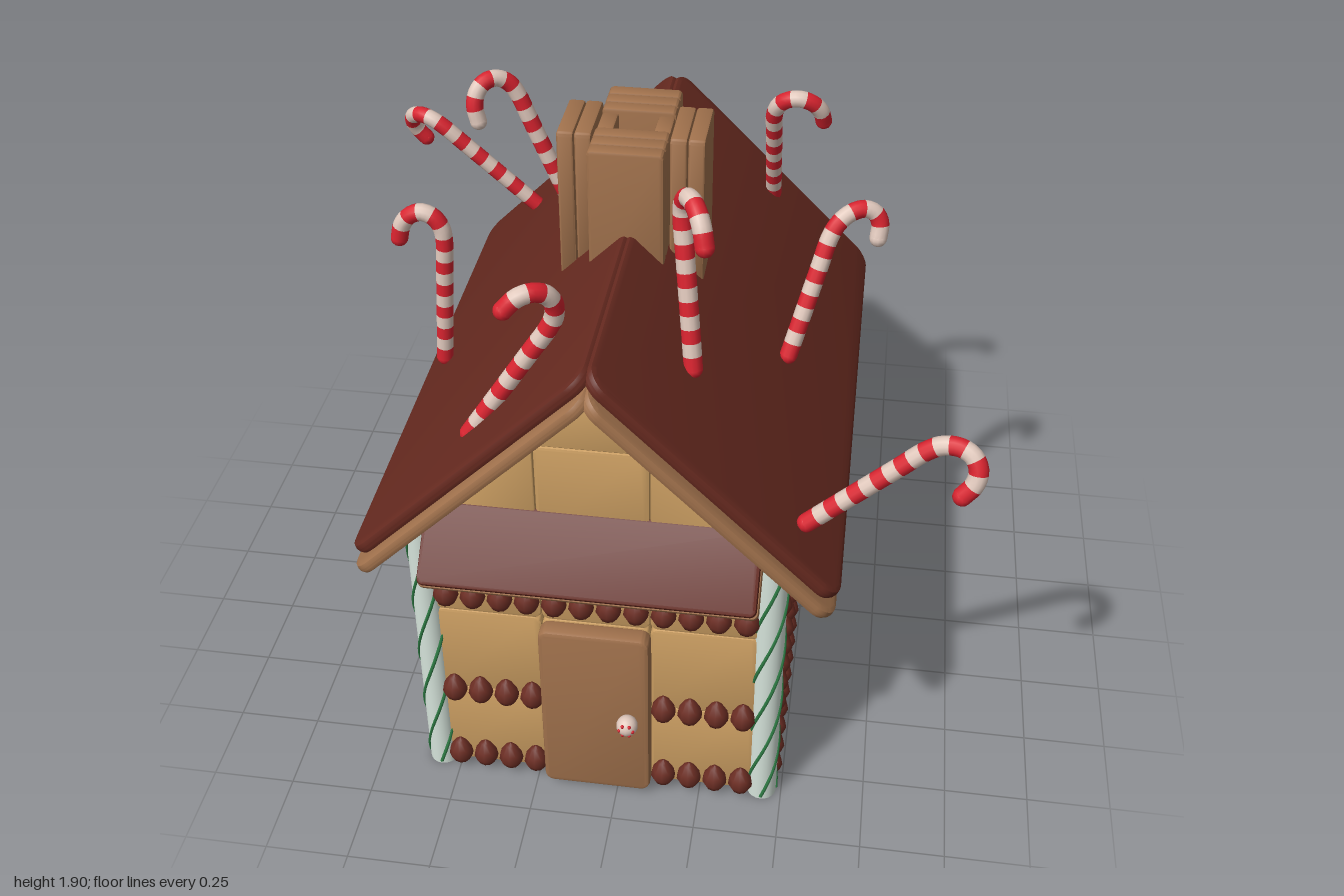
import * as THREE from 'three';
import { mergeGeometries, toCreasedNormals } from 'three/addons/utils/BufferGeometryUtils.js';

const paint = (name, color) => {
  const m = new THREE.MeshStandardMaterial({ color });
  m.name = name;
  return m;
};

export function createModel() {
  const biscuit = paint('biscuit', 0xcb9e62);
  const gingerbread = paint('gingerbread', 0xa0714c);
  const chocolate = paint('chocolate', 0x65291f);
  const nutBrown = paint('nut brown', 0x6b2d23);
  const cakeLight = paint('light cake', 0xd4a866);
  const cakeDark = paint('dark cake', 0x9b5829);
  const mint = paint('mint white', 0xd5e3da);
  const green = paint('candy green', 0x2f7d45);
  const red = paint('candy red', 0xd8232f);
  const cream = paint('candy cream', 0xe0c8bc);

  const model = new THREE.Group();
  model.name = 'gingerbreadHouse';
  const house = new THREE.Group();
  house.name = 'house';
  house.position.x = -0.06;
  model.add(house);

  const add = (parent, name, geo, mat, x = 0, y = 0, z = 0) => {
    const m = new THREE.Mesh(geo, mat);
    m.name = name;
    m.position.set(x, y, z);
    parent.add(m);
    return m;
  };
  const group = (parent, name) => {
    const g = new THREE.Group();
    g.name = name;
    parent.add(g);
    return g;
  };

  // Bevelled extrusion centred on z = 0
  const bevelled = (shape, t, b) => {
    const g = new THREE.ExtrudeGeometry(shape, {
      depth: t - 2 * b, bevelEnabled: true, bevelSize: b, bevelThickness: b,
      bevelOffset: -b, bevelSegments: 2, curveSegments: 5,
    });
    g.translate(0, 0, b - t / 2);
    return toCreasedNormals(g, 0.7);
  };
  // Flat slab in XY with rounded corners of radius r
  const slab = (w, h, t, r, b) => {
    const s = new THREE.Shape(), x = w / 2, y = h / 2;
    s.moveTo(r - x, -y);
    s.lineTo(x - r, -y).absarc(x - r, r - y, r, -Math.PI / 2, 0);
    s.lineTo(x, y - r).absarc(x - r, y - r, r, 0, Math.PI / 2);
    s.lineTo(r - x, y).absarc(r - x, y - r, r, Math.PI / 2, Math.PI);
    s.lineTo(-x, r - y).absarc(r - x, r - y, r, Math.PI, Math.PI * 1.5);
    return bevelled(s, t, b);
  };

  // Floor of biscuits
  const T = 0.317;
  const tile = slab(T, T, 0.05, 0.025, 0.008);
  const floor = group(house, 'floor');
  for (let i = -1; i <= 1; i++) for (let j = -2; j <= 2; j++) {
    add(floor, 'floorBiscuit', tile, biscuit, i * T, 0.045, j * 0.32).rotation.x = -Math.PI / 2;
  }

  // Teardrop nut used for the trim
  const nut = new THREE.LatheGeometry(
    [[0, -0.046], [0.026, -0.04], [0.038, -0.015], [0.033, 0.012], [0.015, 0.038], [0, 0.048]]
      .map(p => new THREE.Vector2(...p)), 10);

  // Gable biscuits: a square, a triangle above it and a wedge on each side
  const gablePiece = pts => bevelled(new THREE.Shape(pts.map(p => new THREE.Vector2(...p))), 0.05, 0.006);
  const gableWedge = gablePiece([[0.16, 0.97], [0.475, 0.97], [0.475, 0.99], [0.16, 1.287]]);
  const gableTop = gablePiece([[-0.16, 1.29], [0.16, 1.29], [0, 1.47]]);

  // Four walls, each built facing +z and turned into place
  const walls = [
    { name: 'front', turn: 0, dist: 0.82, cols: 3, door: true },
    { name: 'back', turn: Math.PI, dist: 0.82, cols: 3 },
    { name: 'left', turn: Math.PI / 2, dist: 0.49, cols: 5 },
    { name: 'right', turn: -Math.PI / 2, dist: 0.49, cols: 5 },
  ];
  for (const { name, turn, dist, cols, door } of walls) {
    const wall = group(house, name + 'Wall');
    wall.rotation.y = turn;
    const pitch = cols === 5 ? 0.32 : T, half = cols * pitch / 2;
    for (let c = 0; c < cols; c++) for (let r = 0; r < 3; r++) {
      add(wall, 'wallBiscuit', tile, biscuit, (c + 0.5) * pitch - half, 0.02 + (r + 0.5) * T, dist);
    }

    // Nut rows, broken by door or window
    [[0.067, door ? 0.19 : 0], [0.345, door ? 0.19 : 0.22], [0.735, 0]].forEach(([y, gap]) => {
      const n = Math.round(2 * half / 0.077), parts = [];
      for (let i = 0; i < n; i++) {
        const u = ((i + 0.5) / n * 2 - 1) * half;
        if (Math.abs(u) > gap - 0.001) parts.push(nut.clone().translate(u, y, dist + 0.03));
      }
      add(wall, 'nutRow', mergeGeometries(parts), nutBrown);
    });

    // Chequered cake window
    if (!door) for (const sx of [-1, 1]) for (const sy of [-1, 1]) {
      add(wall, 'windowPane', new THREE.BoxGeometry(0.19, 0.185, 0.04),
        sx * sy < 0 ? cakeLight : cakeDark, sx * 0.095, 0.495 + sy * 0.0925, dist + 0.035);
    }

    if (cols === 3) {
      add(wall, 'gableBiscuit', tile, biscuit, 0, 0.97 + T / 2, dist);
      add(wall, 'gableTop', gableTop, biscuit, 0, 0, dist);
      add(wall, 'gableWedge', gableWedge, biscuit, 0, 0, dist);
      add(wall, 'gableWedge', gableWedge, biscuit, 0, 0, dist).scale.x = -1;

      // Sloping ledge of one chocolate and two biscuit sheets
      const ledge = group(wall, 'ledge');
      ledge.position.set(0, 0.985, 0.925);
      ledge.rotation.x = -Math.PI / 4;
      add(ledge, 'ledgeChocolate', slab(0.94, 0.24, 0.036, 0.02, 0.01), chocolate, 0, 0, -0.018);
      add(ledge, 'ledgeSheet', slab(0.95, 0.24, 0.036, 0.02, 0.01), gingerbread, 0, -0.006, -0.054);
      add(ledge, 'ledgeSheet', slab(0.93, 0.22, 0.03, 0.02, 0.01), gingerbread, 0, -0.006, -0.087);
    }
  }

  // Door and round sweet knob
  add(house, 'door', slab(0.325, 0.63, 0.06, 0.03, 0.012), gingerbread, 0, 0.337, 0.87);
  add(house, 'doorKnob', new THREE.SphereGeometry(0.032, 16, 12), cream, 0.1, 0.33, 0.922);
  const spot = new THREE.SphereGeometry(0.006, 6, 4);
  for (let i = 0; i < 6; i++) {
    const a = i * Math.PI / 3;
    add(house, 'knobSpot', spot, red, 0.1 + 0.02 * Math.cos(a), 0.33 + 0.02 * Math.sin(a), 0.945);
  }

  // Corner posts with green spiral stripes
  const R = 0.044, H = 0.99;
  const stripes = [0, 1, 2, 3].map(k => {
    const pts = [];
    for (let i = 0; i <= 24; i++) {
      const a = k * Math.PI / 2 + i / 24 * Math.PI * 2.4;
      pts.push(new THREE.Vector3(R * Math.sin(a), 0.01 + i / 24 * (H - 0.02), R * Math.cos(a)));
    }
    return new THREE.TubeGeometry(new THREE.CatmullRomCurve3(pts), 60, 0.0055, 5);
  });
  const stripeGeo = mergeGeometries(stripes);
  const postGeo = new THREE.CylinderGeometry(R, R, H, 20);
  for (const sx of [-1, 1]) for (const sz of [-1, 1]) {
    const post = group(house, 'cornerPost');
    post.position.set(sx * 0.5, 0, sz * 0.818);
    add(post, 'postStick', postGeo, mint, 0, H / 2, 0);
    add(post, 'postStripes', stripeGeo, green);
  }

  // Two roof slopes: chocolate over gingerbread
  const topSheet = slab(0.97, 1.81, 0.042, 0.07, 0.016);
  const underSheet = slab(0.965, 1.87, 0.04, 0.07, 0.016);
  for (const s of [-1, 1]) {
    const slope = group(house, s < 0 ? 'rightRoof' : 'leftRoof');
    slope.position.set(s * 0.3525, 1.2325, 0);
    slope.rotation.z = -s * Math.PI / 4;
    add(slope, 'roofChocolate', topSheet, chocolate, 0, -0.021, 0).rotation.x = -Math.PI / 2;
    add(slope, 'roofGingerbread', underSheet, gingerbread, s * 0.03, -0.061, 0).rotation.x = -Math.PI / 2;
  }

  // Chimney of upright wafers around a square hole
  const chimney = group(house, 'chimney');
  chimney.position.set(-0.005, 1.59, -0.01);
  const wafer = slab(0.22, 0.49, 0.05, 0.015, 0.008);
  const thinWafer = slab(0.11, 0.47, 0.05, 0.01, 0.008);
  for (const s of [-1, 1]) {
    for (const d of [0.082, 0.134, 0.186]) add(chimney, 'wafer', wafer, gingerbread, 0, 0, s * d);
    for (const d of [0.138, 0.19]) {
      add(chimney, 'wafer', wafer, gingerbread, s * d, 0, 0).rotation.y = Math.PI / 2;
    }
    add(chimney, 'innerWafer', thinWafer, gingerbread, s * 0.083, 0, 0).rotation.y = Math.PI / 2;
  }

  // Striped candy canes: a straight stick from foot to neck, then a half-round hook to the tip
  const radius = 0.027, sides = 12, step = 3, rise = 0.095;
  const end = new THREE.SphereGeometry(radius, sides, 8);
  const addCane = (...ends) => {
    const [foot, neck, tip] = ends.map(p => new THREE.Vector3(...p));
    const up = neck.clone().sub(foot).normalize();
    const middle = neck.clone().lerp(tip, 0.5), across = tip.clone().sub(middle);
    const path = [foot, foot.clone().lerp(neck, 0.4), foot.clone().lerp(neck, 0.8)];
    for (let i = 0; i <= 6; i++) {
      const a = i / 6 * Math.PI;
      path.push(middle.clone().addScaledVector(across, -Math.cos(a)).addScaledVector(up, rise * Math.sin(a)));
    }
    const curve = new THREE.CatmullRomCurve3(path);
    const bands = Math.round(curve.getLength() / 0.04);
    const geo = new THREE.TubeGeometry(curve, bands * step, radius, sides);
    const size = step * sides * 6;
    for (let b = 0; b < bands; b++) geo.addGroup(b * size, size, b % 2);
    const cane = group(model, 'candyCane');
    add(cane, 'caneStick', geo, [red, cream]);
    add(cane, 'caneFoot', end, red, ...foot);
    add(cane, 'caneTip', end, bands % 2 ? red : cream, ...tip);
  };
  addCane([-0.53, 1.12, -0.71], [-0.83, 1.41, -0.68], [-0.925, 1.32, -0.77]);
  addCane([-0.33, 1.3, -0.38], [-0.495, 1.71, -0.37], [-0.605, 1.65, -0.285]);
  addCane([-0.675, 0.99, 0.06], [-0.645, 1.42, 0.06], [-0.785, 1.42, 0.06]);
  addCane([-0.43, 1.2, 0.7], [-0.2, 1.55, 0.665], [-0.3, 1.65, 0.745]);
  addCane([0.175, 1.36, 0.53], [0.13, 1.78, 0.445], [0.205, 1.78, 0.575]);
  addCane([0.295, 1.22, -0.73], [0.297, 1.6, -0.555], [0.455, 1.59, -0.56]);
  addCane([0.415, 1.13, 0.1], [0.51, 1.47, -0.03], [0.655, 1.46, -0.075]);
  addCane([0.52, 1.03, 0.75], [0.82, 1.3, 0.732], [0.925, 1.21, 0.795]);

  return model;
}
